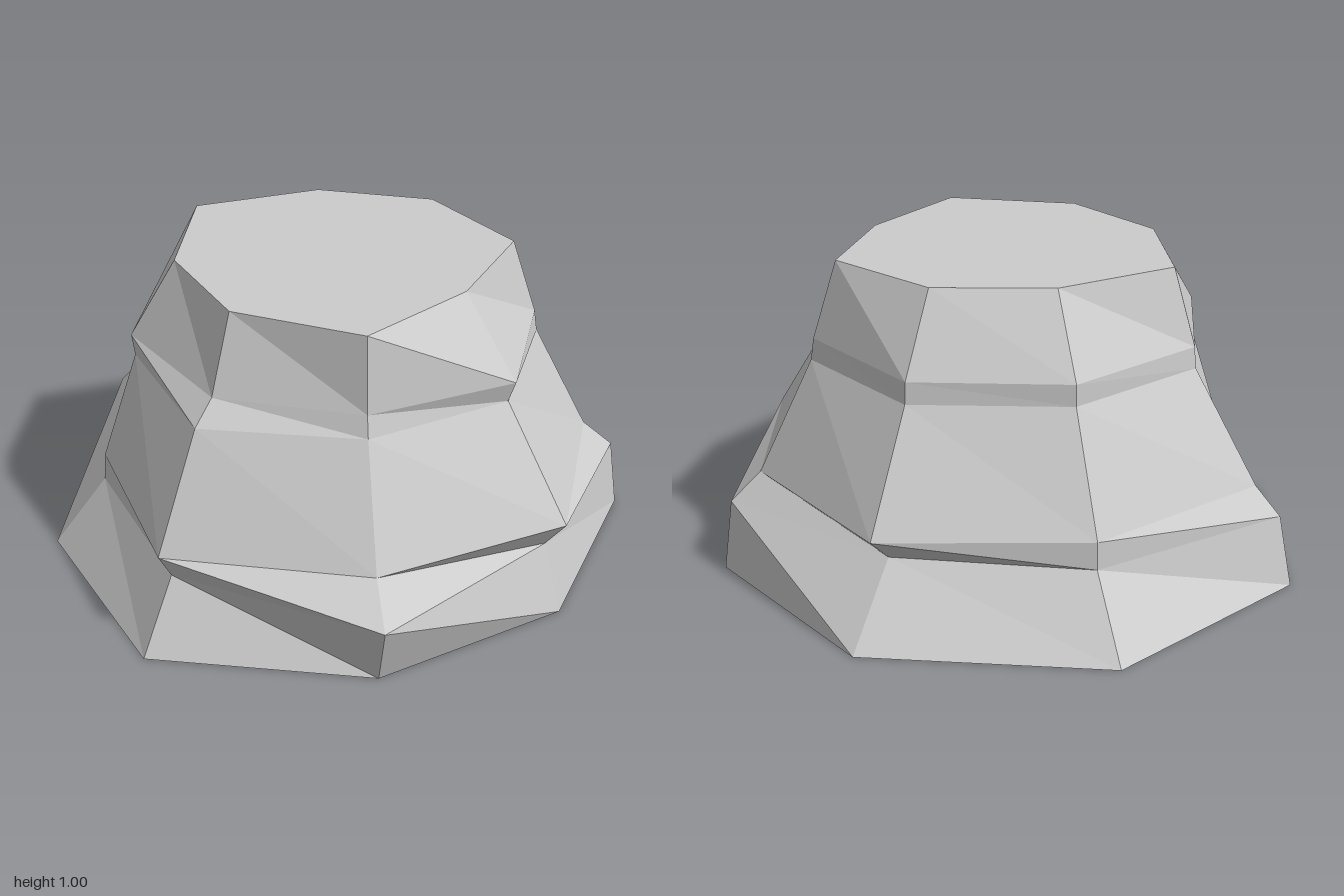
import * as THREE from 'three';

// Eight-sided rock stump: each ring is a height and its radii, going from +x towards +z
const RINGS = [
  [0.00, [1.02, 0.96, 0.87, 0.88, 0.975, 0.94, 1.01, 1.055]],
  [0.23, [0.795, 0.93, 0.805, 0.98, 0.835, 0.77, 0.965, 0.85]],
  [0.32, [0.90, 0.83, 0.875, 0.82, 0.89, 0.765, 0.88, 0.85]],
  [0.68, [0.675, 0.65, 0.645, 0.63, 0.705, 0.65, 0.665, 0.66]],
  [0.75, [0.67, 0.64, 0.67, 0.61, 0.625, 0.66, 0.66, 0.66]],
  [1.00, [0.515, 0.56, 0.48, 0.59, 0.535, 0.515, 0.585, 0.495]],
];
const SIDES = 8;
const CENTRE_X = -0.025;
const CENTRE_Z = 0.065;

function ringPoint([y, radii], i) {
  const k = i % SIDES;
  const angle = (k / SIDES) * Math.PI * 2;
  return [CENTRE_X + Math.cos(angle) * radii[k], y, CENTRE_Z + Math.sin(angle) * radii[k]];
}

function facetedMesh(name, positions, material) {
  const geometry = new THREE.BufferGeometry();
  geometry.setAttribute('position', new THREE.Float32BufferAttribute(positions, 3));
  geometry.computeVertexNormals();
  const mesh = new THREE.Mesh(geometry, material);
  mesh.name = name;
  return mesh;
}

export function createModel() {
  const group = new THREE.Group();
  group.name = 'rockStump';
  const material = new THREE.MeshStandardMaterial({
    color: 0xcccccc, flatShading: true, side: THREE.DoubleSide,
  });

  // Stepped walls, open underneath
  const walls = [];
  for (let r = 0; r < RINGS.length - 1; r++) {
    for (let i = 0; i < SIDES; i++) {
      const lowA = ringPoint(RINGS[r], i);
      const lowB = ringPoint(RINGS[r], i + 1);
      const highA = ringPoint(RINGS[r + 1], i);
      const highB = ringPoint(RINGS[r + 1], i + 1);
      walls.push(...lowA, ...highA, ...highB, ...lowA, ...highB, ...lowB);
    }
  }
  group.add(facetedMesh('walls', walls, material));

  // Flat top
  const top = [];
  const topRing = RINGS[RINGS.length - 1];
  for (let i = 0; i < SIDES; i++) {
    top.push(CENTRE_X, topRing[0], CENTRE_Z, ...ringPoint(topRing, i + 1), ...ringPoint(topRing, i));
  }
  group.add(facetedMesh('flatTop', top, material));

  return group;
}
